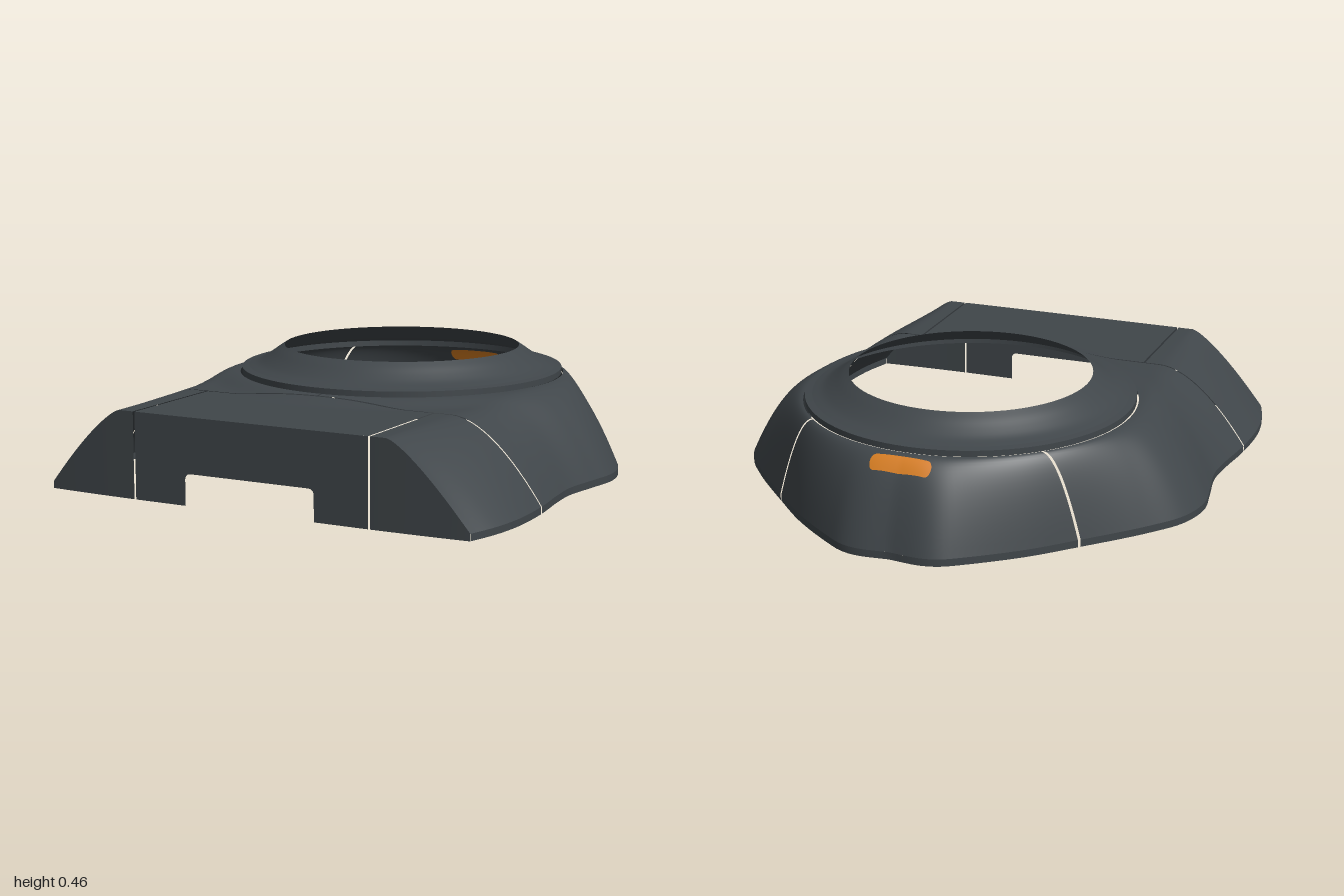
import * as THREE from 'three';

const CZ = -0.18, RIM = 0.65, GAP = 0.004, SEAM = 0.5, BACK_SEAM = -0.64, SPLIT = 0.492;
const lerp = THREE.MathUtils.lerp, smooth = THREE.MathUtils.smoothstep;

// Ground outline of the left half, from the back centre to the front corner
const outline = new THREE.CatmullRomCurve3([
  [0, -0.99], [0.12, -1], [0.19, -0.985], [0.27, -0.935], [0.45, -0.795], [0.6, -0.645], [0.8, -0.43],
  [0.9, -0.29], [0.937, -0.14], [0.92, 0], [0.893, 0.17], [0.9, 0.3], [0.924, 0.5], [0.93, 0.7],
  [0.912, 0.85], [0.875, 0.985],
].map(([x, z]) => new THREE.Vector3(x, 0, z)), false, 'centripetal').getSpacedPoints(400);

// Linear lookup in the outline by a rising key
function lookup(key, value, k) {
  for (let i = outline.length - 2; i >= 0; i--) {
    const a = key(outline[i]), b = key(outline[i + 1]);
    if (k >= a || i === 0) return lerp(value(outline[i]), value(outline[i + 1]), THREE.MathUtils.clamp((k - a) / (b - a), 0, 1));
  }
}
const halfWidth = z => lookup(p => p.z, p => p.x, z);
const reach = a => lookup(p => Math.atan2(p.x, CZ - p.z), p => Math.hypot(p.x, p.z - CZ), Math.abs(a));
const frontZ = x => 0.998 - 0.015 * Math.pow(Math.abs(x) / 0.875, 4);
const polar = (a, r) => [Math.sin(a) * r, CZ - Math.cos(a) * r];

// Height of the domed shell above any plan position
function height(x, z) {
  const r = Math.hypot(x, z - CZ);
  let s, top = 0.355, power = 1.8;
  if (z < CZ) {
    s = (r - RIM) / (reach(Math.atan2(x, CZ - z)) - RIM);
  } else {
    const x0 = lerp(RIM, 0.56, smooth(z, CZ, 0.6));
    s = (Math.abs(x) - x0) / (halfWidth(z) - x0);
    top -= 0.025 * smooth(r, RIM, 0.78) * smooth(z, 0, 0.4);
    power = lerp(1.8, 1.3, smooth(z, 0.4, 1));
  }
  return top * (1 - 0.92 * Math.pow(THREE.MathUtils.clamp(s, 0, 1), power));
}

// Grid surface from a point function of (u, v)
function patch(point, nu, nv) {
  const pos = [], idx = [];
  for (let j = 0; j <= nv; j++) for (let i = 0; i <= nu; i++) pos.push(...point(i / nu, j / nv));
  for (let j = 0; j < nv; j++) for (let i = 0; i < nu; i++) {
    const a = j * (nu + 1) + i, b = a + nu + 1;
    idx.push(a, a + 1, b, a + 1, b + 1, b);
  }
  const g = new THREE.BufferGeometry();
  g.setAttribute('position', new THREE.Float32BufferAttribute(pos, 3));
  g.setIndex(idx);
  g.computeVertexNormals();
  return g;
}

export function createModel() {
  const model = new THREE.Group();
  const shell = new THREE.MeshStandardMaterial({ color: 0x40464a, side: THREE.DoubleSide });
  shell.name = 'dark grey';
  const accent = new THREE.MeshStandardMaterial({ color: 0xdb8022, side: THREE.DoubleSide });
  accent.name = 'orange';
  const add = (name, geometry, material = shell) => {
    const m = new THREE.Mesh(geometry, material);
    m.name = name;
    model.add(m);
    return m;
  };
  const onShell = (x, z, lift = 0) => [x, height(x, z) + lift, z];
  const lip = plan => patch((u, v) => {
    const [x, z] = plan(u);
    return [x, height(x, z) * (1 - v), z];
  }, 48, 1);

  // Back panel between the ring and the rear outline
  const zb = BACK_SEAM - GAP;
  const outA = Math.atan2(halfWidth(zb), CZ - zb), inA = Math.acos((CZ - zb) / RIM);
  const backEdge = u => polar(lerp(-outA, outA, u), reach(lerp(-outA, outA, u)));
  add('backPanel', patch((u, v) => {
    const [ax, az] = polar(lerp(-inA, inA, u), RIM), [bx, bz] = backEdge(u);
    return onShell(lerp(ax, bx, v), lerp(az, bz, v));
  }, 64, 16));
  add('backLip', lip(backEdge));

  const z1 = SEAM - GAP, z0 = BACK_SEAM + GAP, z2 = SEAM + GAP;
  const sideStart = Math.acos((CZ - z0) / RIM);
  for (const side of [1, -1]) {
    const label = side > 0 ? 'left' : 'right';

    // Side panel, running around the ring to the cross seam
    const sideEdge = u => [side * halfWidth(lerp(z0, z1, u)), lerp(z0, z1, u)];
    add(label + 'SidePanel', patch((u, v) => {
      const [ax, az] = polar(side * lerp(sideStart, Math.PI - 0.006, u), RIM);
      const [bx, bz] = u <= 0.6 ? sideEdge(u / 0.6) : [side * lerp(halfWidth(z1), GAP, (u - 0.6) / 0.4), z1];
      return onShell(lerp(ax, bx, v), lerp(az, bz, v));
    }, 80, 20));
    add(label + 'SideLip', lip(sideEdge));

    // Front corner panel
    add(label + 'CornerPanel', patch((u, v) => {
      const z = lerp(z2, frontZ(lerp(SPLIT + GAP, 0.875, u)), v);
      return onShell(side * lerp(SPLIT + GAP, halfWidth(z), u), z);
    }, 24, 24));
    add(label + 'CornerLip', lip(u => [side * halfWidth(lerp(z2, 0.983, u)), lerp(z2, 0.983, u)]));
    add(label + 'FrontWall', patch((u, v) => {
      const x = side * lerp(SPLIT + GAP, 0.875, u), z = frontZ(x);
      return [x, height(x, z) * (1 - v), z];
    }, 24, 1));
  }

  // Centre deck
  const w = SPLIT - GAP;
  add('centreDeck', patch((u, v) => {
    const x = lerp(-w, w, u);
    return onShell(x, lerp(z2, frontZ(x), v));
  }, 24, 20));

  // Centre front wall with a rounded notch
  const top = height(0, 0.998);
  const wall = new THREE.Shape();
  wall.moveTo(-w, 0).lineTo(-0.27, 0).lineTo(-0.27, 0.095);
  wall.quadraticCurveTo(-0.27, 0.12, -0.245, 0.12).lineTo(0.245, 0.12);
  wall.quadraticCurveTo(0.27, 0.12, 0.27, 0.095).lineTo(0.27, 0);
  wall.lineTo(w, 0).lineTo(w, top).lineTo(-w, top).closePath();
  add('centreFrontWall', new THREE.ShapeGeometry(wall)).position.z = 0.997;

  // Raised ring around the round opening
  const flare = new THREE.CatmullRomCurve3([[0.615, 0.381], [0.575, 0.394], [0.535, 0.418], [0.5, 0.443], [0.472, 0.461]]
    .map(([r, y]) => new THREE.Vector3(r, y, 0))).getPoints(14).map(p => new THREE.Vector2(p.x, p.y));
  const ringParts = {
    ringEdge: [new THREE.Vector2(0.643, 0.353), new THREE.Vector2(0.643, 0.376)],
    ringFlange: [new THREE.Vector2(0.643, 0.376), new THREE.Vector2(0.615, 0.381)],
    ringFlare: flare,
  };
  for (const [name, profile] of Object.entries(ringParts))
    add(name, new THREE.LatheGeometry(profile, 96)).position.z = CZ;

  // Orange slot behind the ring, showing on both faces of the shell
  for (const [name, lift] of [['slotOuter', 0.006], ['slotInner', -0.006]])
    add(name, patch((u, v) => {
      const x = -0.12 * Math.cos(u * Math.PI);
      const e = Math.max(0, Math.abs(x) - 0.1);
      const half = Math.sqrt(Math.max(0, 0.0004 - e * e));
      return onShell(x, -0.875 + lerp(-half, half, v), lift);
    }, 32, 6), accent);

  return model;
}
